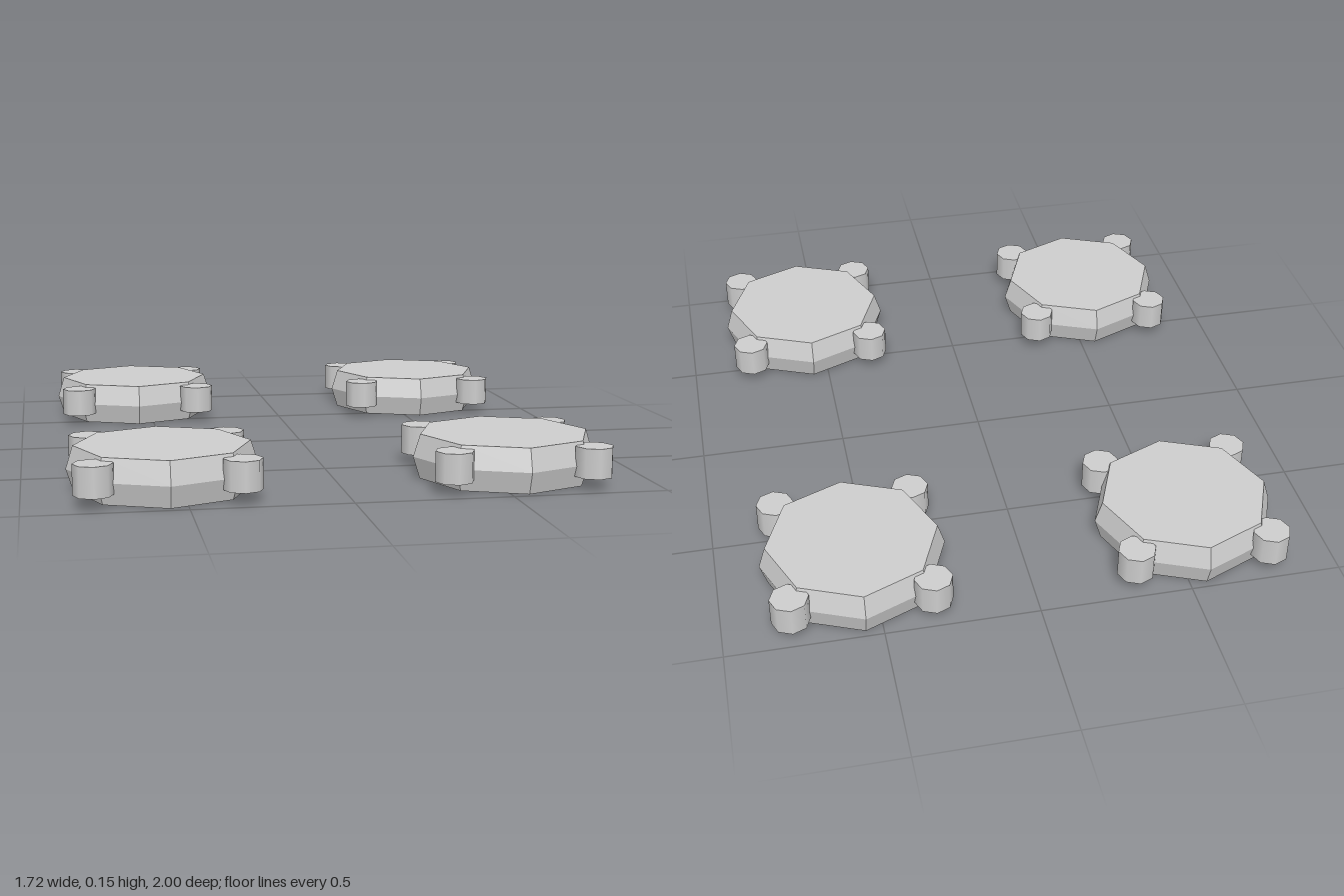
import * as THREE from 'three';

export function createModel() {
  const model = new THREE.Group();
  const grey = new THREE.MeshStandardMaterial({ color: 0xcccccc });
  grey.name = 'lightGrey';

  // Faceted octagonal disc, widest at mid height
  const profile = [[0, 0], [0.28, 0], [0.303, 0.072], [0.28, 0.146], [0, 0.146]]
    .map(([r, y]) => new THREE.Vector2(r, y));
  const discGeometry = new THREE.LatheGeometry(profile, 8).toNonIndexed();
  discGeometry.computeVertexNormals(); // flat facets

  // Round peg, smooth sided
  const pegGeometry = new THREE.CylinderGeometry(0.062, 0.062, 0.097, 8);

  // One pad: a disc with four pegs on its diagonal corners
  function makePad(name, x, z) {
    const pad = new THREE.Group();
    pad.name = name;
    pad.position.set(x, 0, z);

    const disc = new THREE.Mesh(discGeometry, grey);
    disc.name = 'disc';
    pad.add(disc);

    for (const sx of [-1, 1]) {
      for (const sz of [-1, 1]) {
        const peg = new THREE.Mesh(pegGeometry, grey);
        peg.name = 'peg';
        peg.position.set(sx * 0.226, 0.087, sz * 0.226);
        pad.add(peg);
      }
    }
    return pad;
  }

  // Four pads in a rectangle
  for (const sx of [-1, 1]) {
    for (const sz of [-1, 1]) {
      const name = (sz > 0 ? 'front' : 'back') + (sx > 0 ? 'Left' : 'Right') + 'Pad';
      model.add(makePad(name, sx * 0.556, sz * 0.697));
    }
  }
  return model;
}
